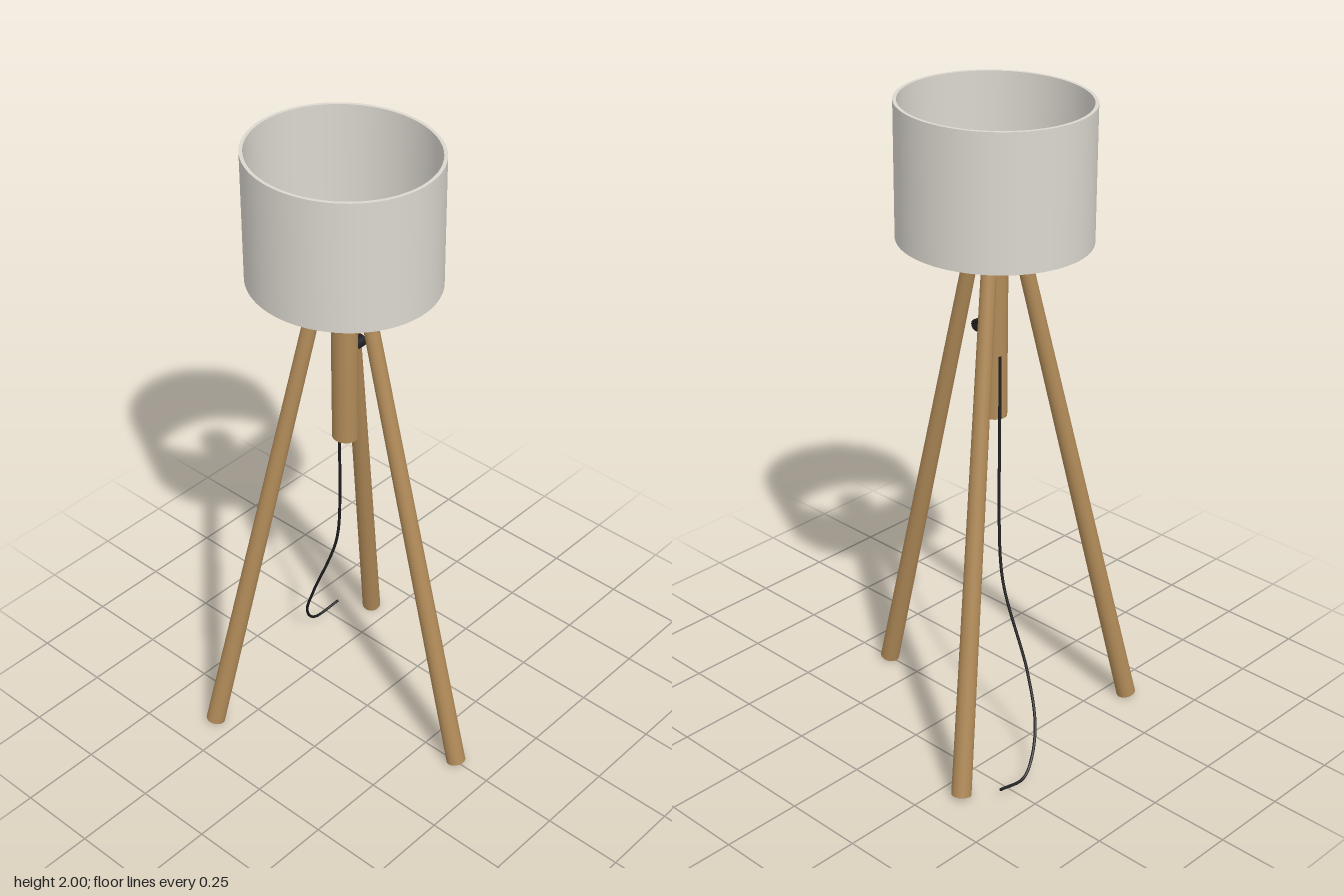
import * as THREE from 'three';
import { mergeGeometries } from 'three/addons/utils/BufferGeometryUtils.js';

const V = (x, y, z) => new THREE.Vector3(x, y, z);

export function createModel() {
  const mat = (name, color, side = THREE.FrontSide) => {
    const m = new THREE.MeshStandardMaterial({ color, side });
    m.name = name;
    return m;
  };
  const wood = mat('wood', 0xb08a58);
  const fabric = mat('shade fabric', 0xdbd7cf, THREE.DoubleSide);
  const glass = mat('bulb glass', 0xe0cfa2);
  const black = mat('black plastic', 0x1e1e20);

  const model = new THREE.Group();
  model.name = 'tripodFloorLamp';
  const add = (parent, name, geometry, material) => {
    const mesh = new THREE.Mesh(geometry, material);
    mesh.name = name;
    parent.add(mesh);
    return mesh;
  };

  // Three tapered legs, leaning inward around the post
  const leg = (name, top, foot) => {
    const axis = top.clone().sub(foot);
    const mesh = add(model, name, new THREE.CylinderGeometry(0.0225, 0.03, axis.length(), 32), wood);
    mesh.position.copy(top).add(foot).multiplyScalar(0.5);
    mesh.quaternion.setFromUnitVectors(V(0, 1, 0), axis.normalize());
  };
  leg('frontLeg', V(0, 1.527, 0.002), V(0, 0.008, 0.376));
  for (const [side, s] of [['left', 1], ['right', -1]])
    leg(side + 'BackLeg', V(0.072 * s, 1.527, -0.134), V(0.375 * s, 0.008, -0.319));

  // Lamp head, slightly deeper than wide
  const head = new THREE.Group();
  head.name = 'lampHead';
  head.position.z = -0.088;
  head.scale.z = 1.06;
  model.add(head);

  add(head, 'post', new THREE.CylinderGeometry(0.038, 0.038, 0.64, 40), wood).position.y = 1.37;
  add(head, 'bulb', new THREE.SphereGeometry(0.062, 40, 28), glass).position.y = 1.74;

  // Drum shade: one lathe per profile edge keeps the rims sharp
  const profile = [[0.272, 1.6], [0.272, 2], [0.262, 2], [0.262, 1.6], [0.272, 1.6]]
    .map(([r, y]) => new THREE.Vector2(r, y));
  const walls = [];
  for (let i = 0; i < 4; i++) walls.push(new THREE.LatheGeometry([profile[i], profile[i + 1]], 96));
  add(head, 'drumShade', mergeGeometries(walls), fabric);

  // Switch knob on the side of the post
  const knob = add(head, 'switchKnob', new THREE.CylinderGeometry(0.018, 0.018, 0.044, 24), black);
  knob.rotation.z = Math.PI / 2;
  knob.position.set(0.053, 1.355, 0);

  // Power cord hanging behind the post and trailing over the floor
  const path = new THREE.CatmullRomCurve3([
    V(0.015, 1.25, -0.126), V(0.028, 0.95, -0.138), V(0.046, 0.75, -0.155),
    V(0.064, 0.55, -0.19), V(0.066, 0.28, -0.295), V(0.1, 0.14, -0.36),
    V(0.15, 0.055, -0.392), V(0.2, 0.018, -0.406), V(0.295, 0.025, -0.402),
  ]);
  add(model, 'powerCord', new THREE.TubeGeometry(path, 100, 0.0045, 10), black);
  for (const [name, t, flip] of [['cordStartCap', 0, -1], ['cordEndCap', 1, 1]]) {
    const cap = add(model, name, new THREE.CircleGeometry(0.0045, 10), black);
    cap.position.copy(path.getPoint(t));
    cap.quaternion.setFromUnitVectors(V(0, 0, 1), path.getTangent(t).multiplyScalar(flip));
  }
  return model;
}
